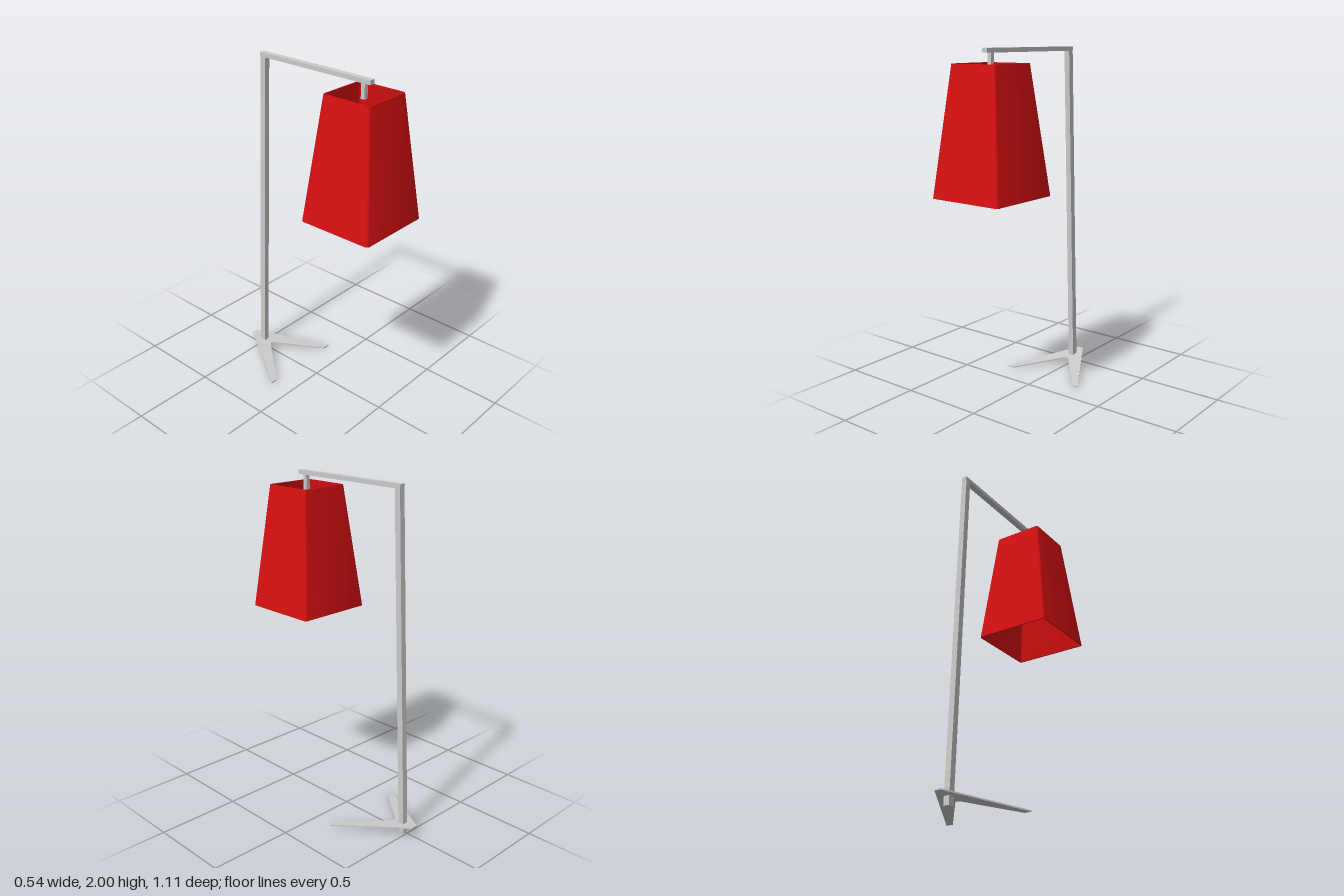
import * as THREE from 'three';
import { toCreasedNormals } from 'three/addons/utils/BufferGeometryUtils.js';

const grey = new THREE.MeshStandardMaterial({ color: 0xcccccc });
const red = new THREE.MeshStandardMaterial({ color: 0xd81012 });

function part(name, geometry, material) {
  const mesh = new THREE.Mesh(geometry, material);
  mesh.name = name;
  return mesh;
}

function shapeOf(points) {
  return new THREE.Shape(points.map(([a, b]) => new THREE.Vector2(a, b)));
}

// Bar with a side profile of [z, y] points, extruded across x
function bar(points, width) {
  const geo = new THREE.ExtrudeGeometry(shapeOf(points), { depth: width, bevelEnabled: false });
  return geo.translate(0, 0, -width / 2).rotateY(-Math.PI / 2);
}

// Forked foot: flat V plate, sloping down towards the front
function footGeometry() {
  const half = [[0.018, 0.556], [0.268, 0.135], [0.226, 0.135], [0.019, 0.388], [0.008, 0.398]];
  const mirrored = half.map(([x, y]) => [-x, y]).reverse();
  const geo = new THREE.ExtrudeGeometry(shapeOf([...half, ...mirrored]), { depth: 0.008, bevelEnabled: false });
  geo.rotateX(-Math.PI / 2);
  const p = geo.attributes.position;
  for (let i = 0; i < p.count; i++) p.setY(i, p.getY(i) + 0.004 - (p.getZ(i) + 0.135) * 0.132);
  geo.computeVertexNormals();
  return geo;
}

// Square ring with rounded corners
function squareRing(half, radius, y) {
  const ring = [];
  const steps = 5;
  for (let c = 0; c < 4; c++) {
    const mid = (c + 0.5) * Math.PI / 2;
    const cx = Math.sign(Math.cos(mid)) * (half - radius);
    const cz = Math.sign(Math.sin(mid)) * (half - radius);
    for (let s = 0; s <= steps; s++) {
      const a = (c + s / steps) * Math.PI / 2;
      ring.push([cx + radius * Math.cos(a), y, cz + radius * Math.sin(a)]);
    }
  }
  return ring;
}

// Tapered shade: outer wall, top rim, inner wall, bottom rim
function shadeGeometry() {
  const top = 1.92, bottom = 1.205, wall = 0.007;
  const rings = [
    squareRing(0.231, 0.018, bottom),
    squareRing(0.15, 0.013, top),
    squareRing(0.15 - wall, 0.007, top),
    squareRing(0.231 - wall, 0.011, bottom),
  ];
  const n = rings[0].length;
  const index = [];
  for (let r = 0; r < 4; r++) {
    for (let i = 0; i < n; i++) {
      const j = (i + 1) % n, next = ((r + 1) % 4) * n;
      const a = r * n + i, b = r * n + j, c = next + i, d = next + j;
      index.push(a, c, b, b, c, d);
    }
  }
  const geo = new THREE.BufferGeometry();
  geo.setAttribute('position', new THREE.Float32BufferAttribute(rings.flat(2), 3));
  geo.setIndex(index);
  return toCreasedNormals(geo, 0.6);
}

export function createModel() {
  const lamp = new THREE.Group();
  lamp.name = 'floorLamp';

  lamp.add(part('foot', footGeometry(), grey));

  // Leaning post, flat on the floor, and the level arm on top
  lamp.add(part('post', bar([[-0.486, 0], [-0.448, 0], [-0.366, 1.975], [-0.402, 1.975]], 0.034), grey));
  lamp.add(part('arm', bar([[-0.403, 1.975], [0.372, 1.975], [0.372, 2], [-0.403, 2]], 0.034), grey));

  // Short stem hanging into the shade
  const stem = part('stem', new THREE.BoxGeometry(0.026, 0.085, 0.024), grey);
  stem.position.set(0, 1.9325, 0.322);
  lamp.add(stem);

  const shade = part('shade', shadeGeometry(), red);
  shade.position.z = 0.322;
  lamp.add(shade);

  return lamp;
}
